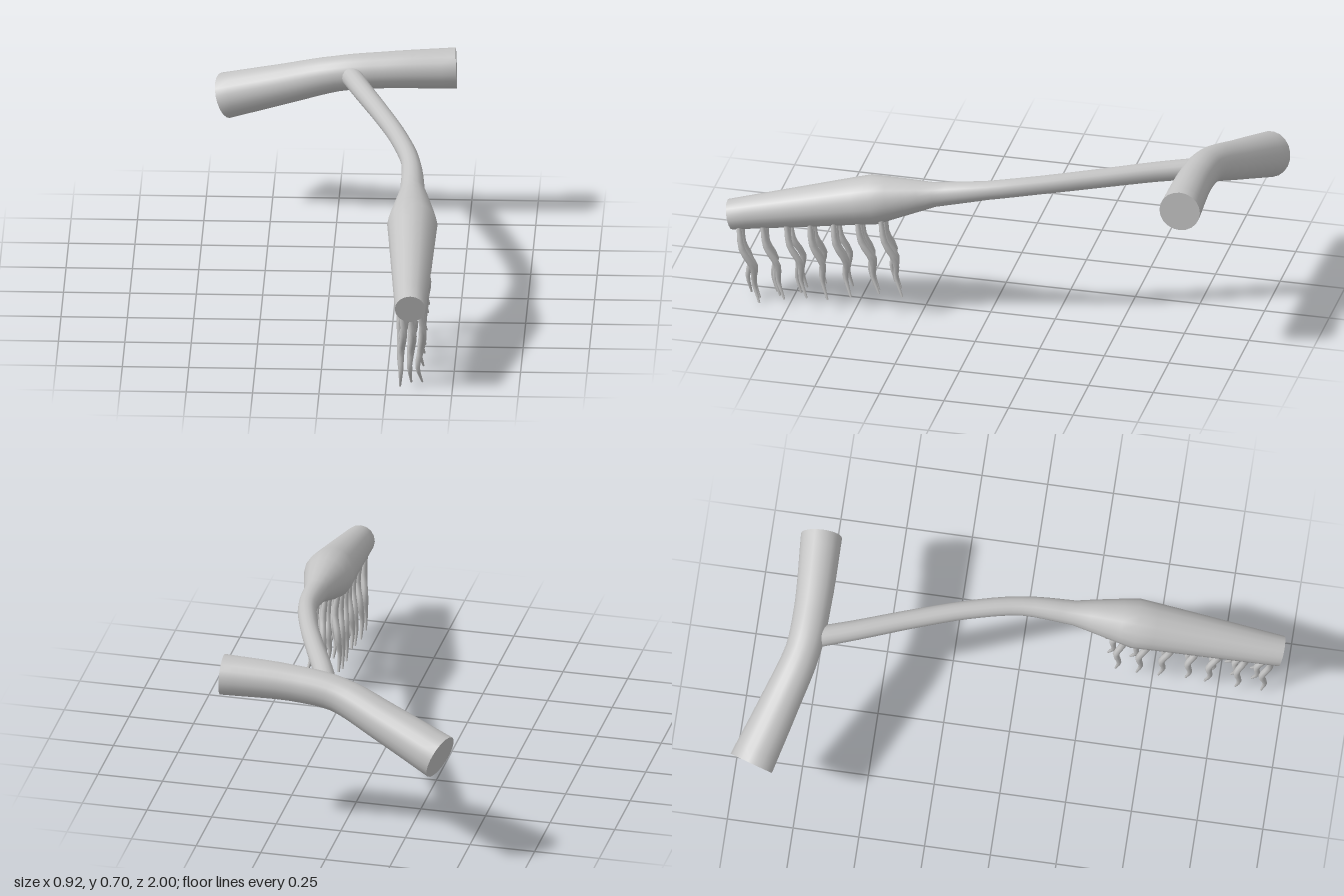
import * as THREE from 'three';

const grey = new THREE.MeshStandardMaterial({ color: 0xc4c4c4 });
grey.name = 'plain grey';

// Tapered tube with flat caps; each point is [x, y, z, radius]
function taperedTube(points, up, sides, steps) {
  const curve = new THREE.CatmullRomCurve3(points.map(p => new THREE.Vector3(p[0], p[1], p[2])));
  const rings = (points.length - 1) * steps;
  const pos = [], index = [];
  const addRing = t => {
    const c = curve.getPoint(t), T = curve.getTangent(t);
    const B = new THREE.Vector3().crossVectors(T, up).normalize();
    const N = new THREE.Vector3().crossVectors(B, T);
    const f = t * (points.length - 1), k = Math.min(Math.floor(f), points.length - 2);
    const r = THREE.MathUtils.lerp(points[k][3], points[k + 1][3], f - k);
    const start = pos.length / 3;
    for (let j = 0; j < sides; j++) {
      const a = j / sides * Math.PI * 2;
      const v = c.clone().addScaledVector(N, r * Math.cos(a)).addScaledVector(B, r * Math.sin(a));
      pos.push(v.x, v.y, v.z);
    }
    return start;
  };
  for (let i = 0; i <= rings; i++) addRing(i / rings);
  for (let i = 0; i < rings; i++) {
    for (let j = 0; j < sides; j++) {
      const a = i * sides + j, b = i * sides + (j + 1) % sides;
      index.push(a, b, a + sides, b, b + sides, a + sides);
    }
  }
  // Caps use their own vertices so the rims stay sharp
  for (const end of [0, 1]) {
    const s = addRing(end);
    for (let j = 1; j < sides - 1; j++) {
      if (end) index.push(s, s + j, s + j + 1);
      else index.push(s, s + j + 1, s + j);
    }
  }
  const g = new THREE.BufferGeometry();
  g.setAttribute('position', new THREE.Float32BufferAttribute(pos, 3));
  g.setIndex(index);
  g.computeVertexNormals();
  return g;
}

function part(name, geometry) {
  const m = new THREE.Mesh(geometry, grey);
  m.name = name;
  return m;
}

export function createModel() {
  const model = new THREE.Group();
  model.name = 'branchBrush';
  const up = new THREE.Vector3(0, 1, 0);

  // Bent crossbar at the back
  model.add(part('crossbar', taperedTube([
    [-0.425, 0.443, -0.92, 0.087],
    [-0.2, 0.523, -0.845, 0.076],
    [0, 0.591, -0.785, 0.067],
    [0.18, 0.613, -0.773, 0.069],
    [0.45, 0.622, -0.78, 0.078],
  ], up, 20, 5)));

  // Curved handle swelling into the brush head
  model.add(part('handleAndHead', taperedTube([
    [0.055, 0.6, -0.74, 0.04],
    [0.105, 0.594, -0.6, 0.038],
    [0.183, 0.581, -0.4, 0.036],
    [0.255, 0.566, -0.2, 0.035],
    [0.308, 0.545, 0, 0.036],
    [0.322, 0.511, 0.2, 0.047],
    [0.33, 0.467, 0.43, 0.095],
    [0.337, 0.406, 0.705, 0.077],
    [0.343, 0.343, 0.985, 0.058],
  ], up, 16, 4)));

  // Wavy bristles: seven rows of three under the head
  let seed = 7;
  const rand = () => (seed = (seed * 16807) % 2147483647) / 2147483647 - 0.5;
  const bristles = new THREE.Group();
  bristles.name = 'bristles';
  const side = new THREE.Vector3(1, 0, 0);
  for (let row = 0; row < 7; row++) {
    const f = row / 6;
    const z = 0.94 - 0.55 * f;
    const axisY = 0.353 + 0.122 * f;
    const headR = 0.06 + 0.033 * f;
    const tipY = 0.003 + 0.1 * f;
    for (const col of [-1, 0, 1]) {
      const x = 0.343 - 0.011 * f + col * (0.033 + 0.016 * f);
      const top = axisY - headR * (col ? 0.6 : 0.85);
      const drop = top - tipY - (row ? rand() * 0.03 : 0);
      const wx = 0.012 + rand() * 0.01;
      const drift = -0.06 - col * 0.018 + rand() * 0.035;
      const at = (t, dx, dz, r) => [x + dx, top - drop * t, z + dz + drift * t, r];
      bristles.add(part('bristle', taperedTube([
        at(0, 0, 0.005, 0.009),
        at(0.3, wx, 0.012, 0.013),
        at(0.55, col * 0.004, -0.01, 0.013),
        at(0.78, -wx * 0.6, 0.008, 0.009),
        at(1, col * 0.008, 0, 0.004),
      ], side, 8, 3)));
    }
  }
  model.add(bristles);
  return model;
}
